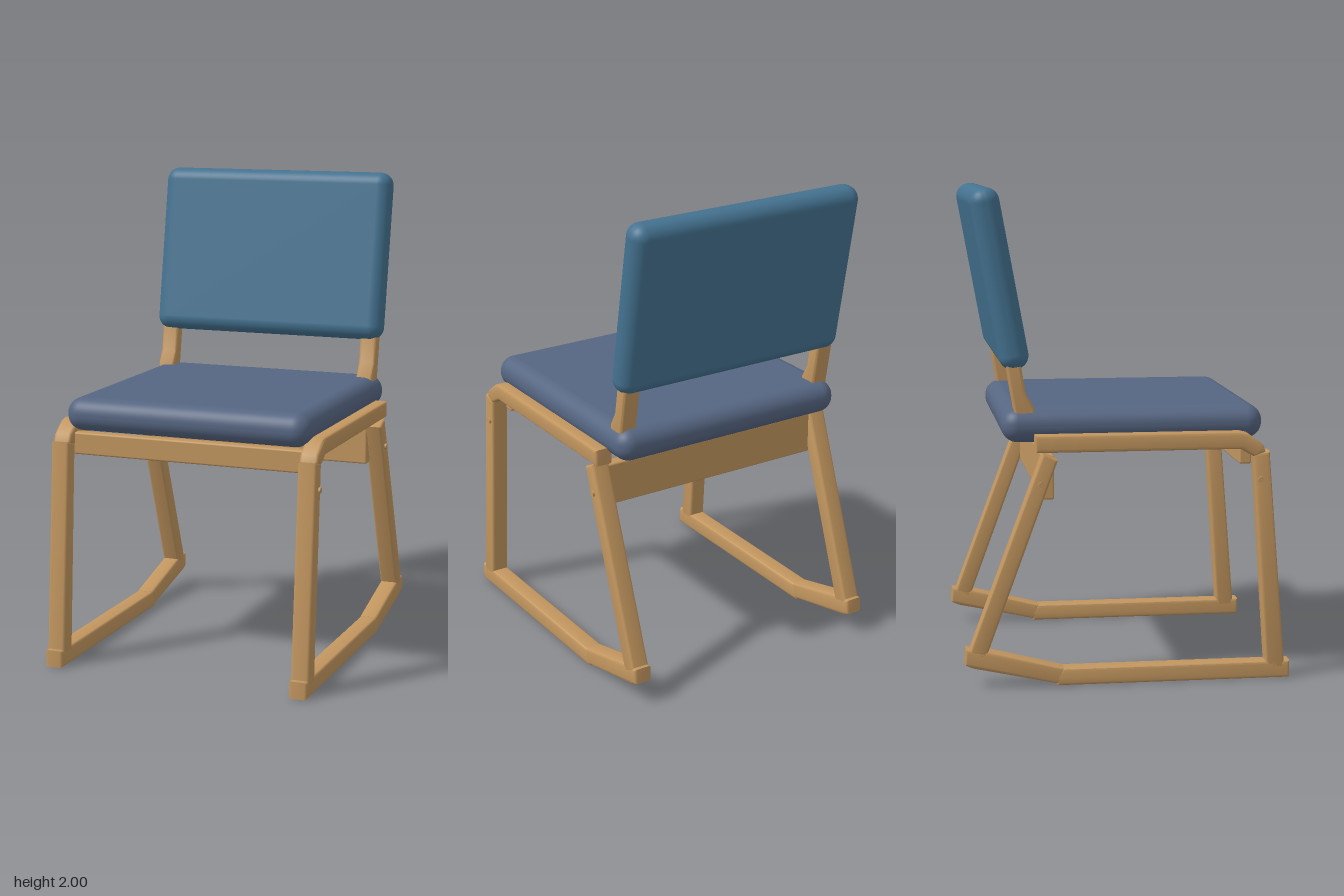
import * as THREE from 'three';
import { RoundedBoxGeometry } from 'three/addons/geometries/RoundedBoxGeometry.js';
import { toCreasedNormals } from 'three/addons/utils/BufferGeometryUtils.js';

const wood = new THREE.MeshStandardMaterial({ color: 0xc2965f });
const seatFabric = new THREE.MeshStandardMaterial({ color: 0x566682 });
const backFabric = new THREE.MeshStandardMaterial({ color: 0x447290 });

function add(parent, name, geometry, material, x = 0, y = 0, z = 0) {
  const mesh = new THREE.Mesh(geometry, material);
  mesh.name = name;
  mesh.position.set(x, y, z);
  parent.add(mesh);
  return mesh;
}

// Side outline given as [z, y] points, extruded across x with softened edges
function board(outline, width, bevel = 0.012) {
  const shape = new THREE.Shape(outline.map(([z, y]) => new THREE.Vector2(z, y)));
  const geometry = new THREE.ExtrudeGeometry(shape, {
    depth: width - 2 * bevel, bevelEnabled: true, bevelSize: bevel,
    bevelThickness: bevel, bevelOffset: -bevel, bevelSegments: 3,
  });
  geometry.translate(0, 0, -(width - 2 * bevel) / 2);
  geometry.rotateY(-Math.PI / 2);
  return toCreasedNormals(geometry, 0.6);
}

const sideParts = {
  frontLeg: [[0.573, 0.945], [0.507, 0.935], [0.568, 0.04], [0.645, 0.04]],
  rearLeg: [[-0.285, 0.925], [-0.345, 0.955], [-0.645, 0.15], [-0.582, 0.115]],
  frontRunner: [[0.665, 0.003], [0.665, 0.075], [-0.27, 0.075], [-0.3, 0.04], [-0.29, 0.003]],
  rearRunner: [[-0.265, 0.006], [-0.265, 0.076], [-0.575, 0.155], [-0.66, 0.165],
    [-0.663, 0.1], [-0.63, 0.085]],
  // the seat rail bends down to meet the front leg
  seatRail: [[-0.375, 0.955], [-0.375, 1.025], [0.455, 1.025], [0.485, 1.017], [0.545, 0.972],
    [0.557, 0.942], [0.515, 0.922], [0.495, 0.93], [0.455, 0.955]],
};

const postOutline = [[-0.37, 1.04], [-0.37, 1.125], [-0.405, 1.185], [-0.43, 1.33],
  [-0.49, 1.33], [-0.44, 1.04]];

export function createModel() {
  const chair = new THREE.Group();
  chair.name = 'chair';

  // Side frames, back posts and peg caps, mirrored left and right
  for (const [side, s] of [['left', 1], ['right', -1]]) {
    const frame = new THREE.Group();
    frame.name = side + 'SideFrame';
    chair.add(frame);
    for (const [name, outline] of Object.entries(sideParts)) {
      add(frame, name, board(outline, 0.078), wood, s * 0.538);
    }
    add(frame, 'backPost', board(postOutline, 0.075), wood, s * 0.47);
    for (const z of [0.537, -0.352]) {
      const peg = add(frame, 'pegCap', new THREE.CylinderGeometry(0.012, 0.012, 0.03, 16), wood, s * 0.57, 0.83, z);
      peg.rotation.z = Math.PI / 2;
    }
  }

  // Cross rails between the side frames
  add(chair, 'frontApron', new RoundedBoxGeometry(1.02, 0.093, 0.05, 2, 0.008), wood, 0, 0.93, 0.486);
  add(chair, 'rearApron', new RoundedBoxGeometry(1.02, 0.18, 0.052, 2, 0.008), wood, 0, 0.845, -0.32);

  // Upholstery
  add(chair, 'seatCushion', new RoundedBoxGeometry(1.06, 0.138, 1.06, 6, 0.066), seatFabric, 0, 1.055, 0.027);
  const back = add(chair, 'backCushion', new RoundedBoxGeometry(1.06, 0.73, 0.12, 6, 0.056), backFabric, 0, 1.64, -0.507);
  back.rotation.x = -0.18;

  return chair;
}
